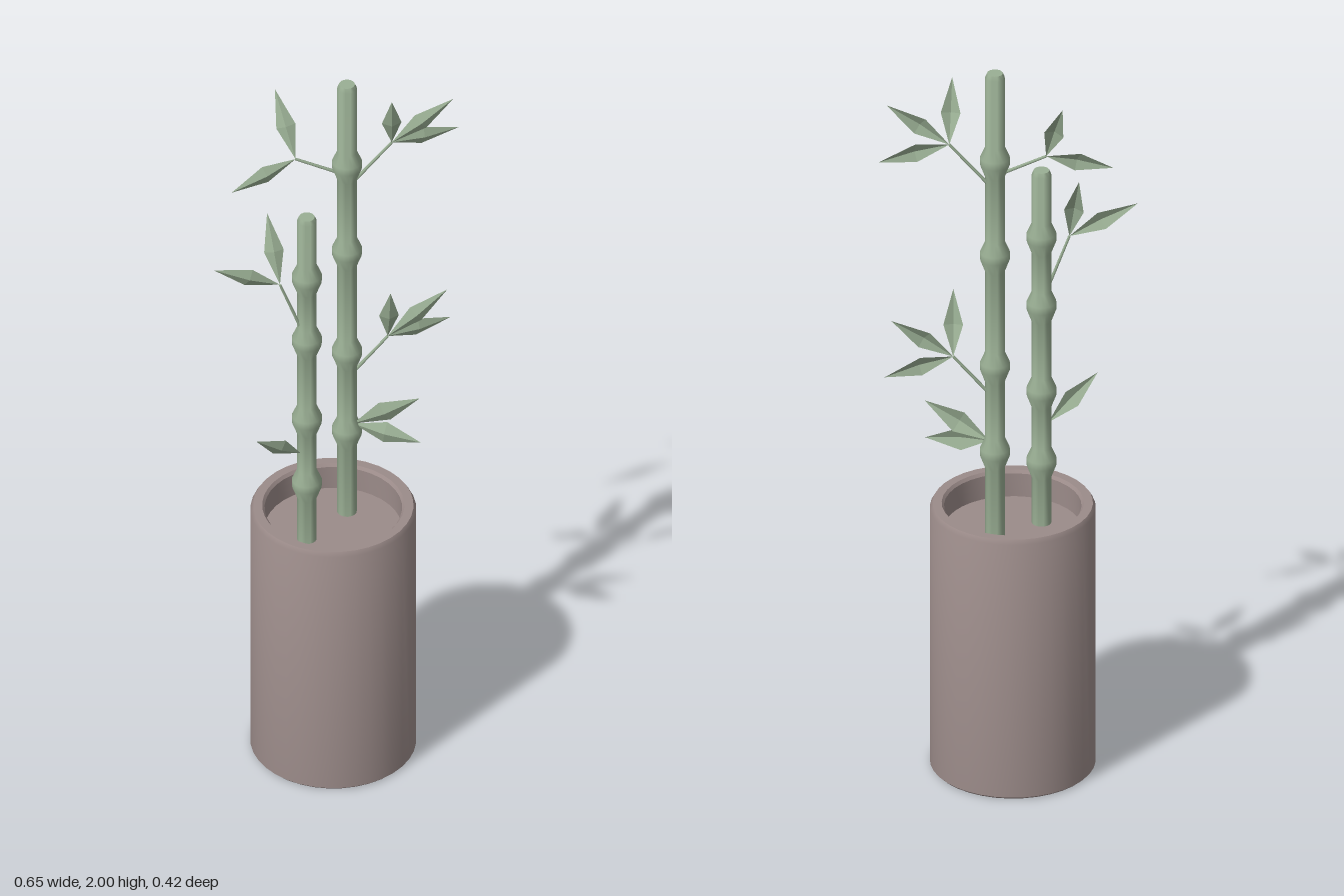
import * as THREE from 'three';
import { toCreasedNormals } from 'three/addons/utils/BufferGeometryUtils.js';

const V = (a) => new THREE.Vector3(...a);

export function createModel() {
  const model = new THREE.Group();
  const potMat = new THREE.MeshStandardMaterial({ name: 'clay', color: 0x9b8b89 });
  const green = new THREE.MeshStandardMaterial({ name: 'bambooGreen', color: 0x9aaf94 });
  const leafMat = new THREE.MeshStandardMaterial({
    name: 'leafGreen', color: 0x9aaf94, side: THREE.DoubleSide, flatShading: true,
  });

  const add = (parent, name, geometry, material) => {
    const mesh = new THREE.Mesh(geometry, material);
    mesh.name = name;
    parent.add(mesh);
    return mesh;
  };
  const lathe = (points, sides, crease) => toCreasedNormals(
    new THREE.LatheGeometry(points.map(([r, y]) => new THREE.Vector2(r, y)), sides), crease);

  // Pot: closed base, bevelled rim and a shallow inner floor
  const pot = add(model, 'pot', lathe([
    [0, 0], [0.205, 0], [0.21, 0.005], [0.21, 0.726], [0.203, 0.738],
    [0.18, 0.738], [0.174, 0.73], [0.174, 0.665], [0, 0.665],
  ], 36, 0.6), potMat);
  pot.position.x = -0.012;

  // Bamboo cane: straight tube swelling at each node
  const cane = (parent, x, z, top, nodes) => {
    const r = 0.025;
    const profile = [[r, 0.66]];
    for (const y of nodes) {
      profile.push([r, y - 0.045], [0.038, y - 0.01], [0.038, y + 0.01], [r, y + 0.04]);
    }
    profile.push([r, top - 0.012], [0.02, top], [0, top]);
    add(parent, 'cane', lathe(profile, 20, 0.9), green).position.set(x, 0, z);
  };

  // Twig: thin cylinder between two points
  const twig = (parent, a, b) => {
    const from = V(a), to = V(b), dir = to.clone().sub(from);
    const mesh = add(parent, 'twig',
      new THREE.CylinderGeometry(0.0035, 0.0045, dir.length(), 6), green);
    mesh.position.copy(from).add(to).multiplyScalar(0.5);
    mesh.quaternion.setFromUnitVectors(new THREE.Vector3(0, 1, 0), dir.normalize());
  };

  // Leaf: pointed blade folded along its midrib
  const leaf = (parent, a, b, width = 0.05) => {
    const base = V(a), tip = V(b), dir = tip.clone().sub(base).normalize();
    const side = dir.clone().cross(new THREE.Vector3(0, 0, 1)).normalize();
    const normal = side.clone().cross(dir).normalize();
    const mid = base.clone().lerp(tip, 0.47).addScaledVector(normal, 0.01);
    const edge = (s) => mid.clone().addScaledVector(side, s * width / 2)
      .addScaledVector(normal, -0.012);
    const geometry = new THREE.BufferGeometry().setFromPoints([base, edge(1), mid, edge(-1), tip]);
    geometry.setIndex([0, 1, 2, 0, 2, 3, 1, 4, 2, 2, 4, 3]);
    geometry.computeVertexNormals();
    add(parent, 'leaf', geometry, leafMat);
  };

  const plants = [
    {
      name: 'tallBamboo', x: 0.03, z: -0.07, top: 2, nodes: [0.92, 1.165, 1.48, 1.75],
      sprigs: [
        { from: [0.03, 1.71, -0.078], to: [-0.1, 1.77, -0.078],
          tips: [[-0.268, 1.714, -0.027], [-0.145, 1.94, -0.15]] },
        { from: [0.04, 1.68, -0.078], to: [0.145, 1.8, -0.083],
          tips: [[0.14, 1.965, -0.03], [0.303, 1.915, -0.096], [0.322, 1.782, -0.155]] },
        { from: [0.04, 1.085, -0.078], to: [0.135, 1.195, -0.083],
          tips: [[0.137, 1.363, -0.035], [0.29, 1.308, -0.113], [0.305, 1.178, -0.172]] },
        { to: [0.045, 0.945, -0.06], width: 0.062,
          tips: [[0.21, 1.037, -0.024], [0.21, 0.918, 0.002]] },
      ],
    },
    {
      name: 'shortBamboo', x: -0.083, z: 0.036, top: 1.67, nodes: [0.84, 1.04, 1.285, 1.48],
      sprigs: [
        { from: [-0.095, 1.32, 0.045], to: [-0.153, 1.475, 0.052],
          tips: [[-0.325, 1.556, 0.084], [-0.18, 1.66, -0.005]] },
        { to: [-0.1, 0.943, 0.05], tips: [[-0.221, 1.046, 0.131]] },
      ],
    },
  ];

  for (const p of plants) {
    const plant = new THREE.Group();
    plant.name = p.name;
    cane(plant, p.x, p.z, p.top, p.nodes);
    for (const s of p.sprigs) {
      if (s.from) twig(plant, s.from, s.to);
      for (const tip of s.tips) leaf(plant, s.to, tip, s.width);
    }
    model.add(plant);
  }
  return model;
}
